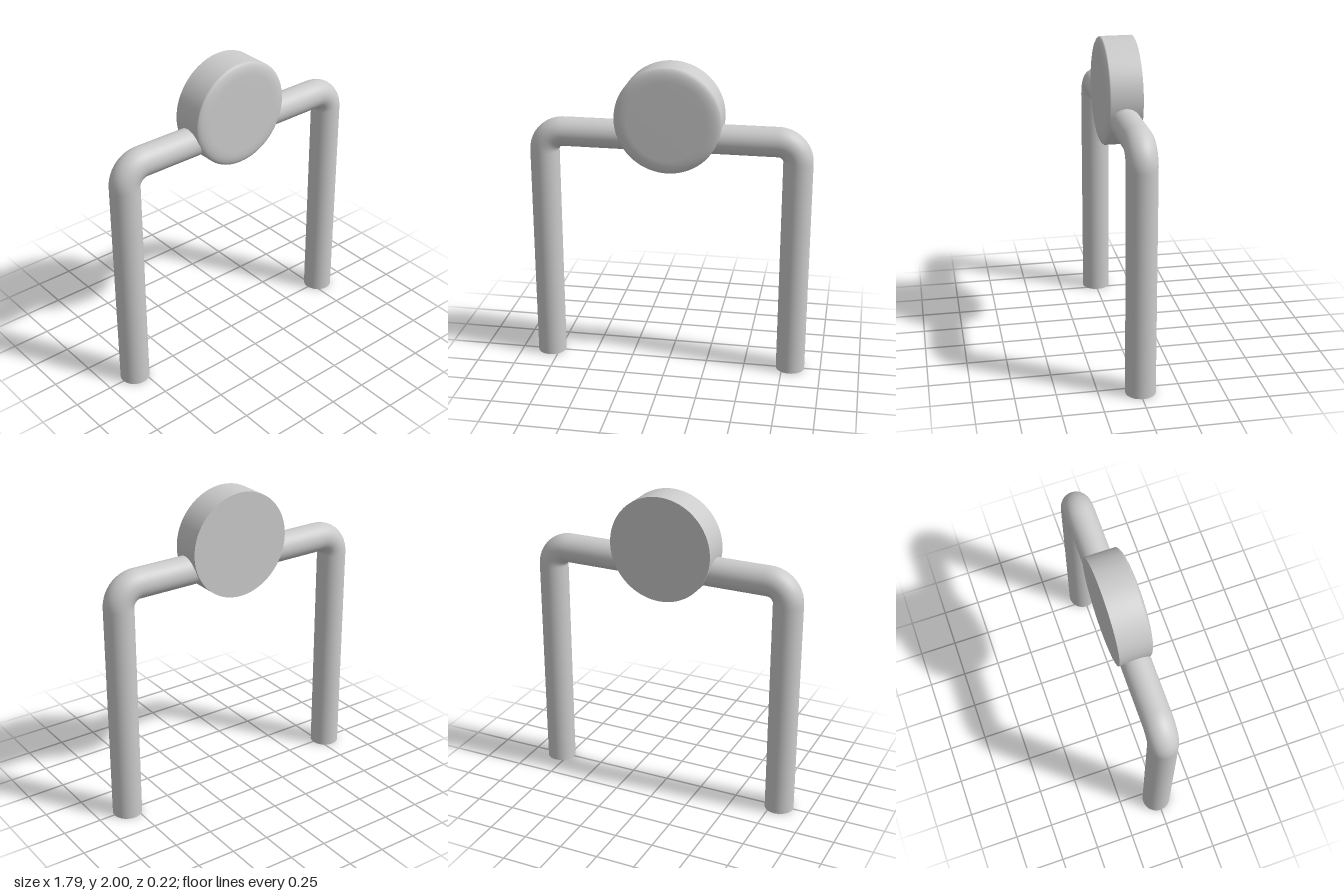
import * as THREE from 'three';

export function createModel() {
  const group = new THREE.Group();
  const grey = new THREE.MeshStandardMaterial({ color: 0xcccccc, side: THREE.DoubleSide });
  const add = (name, geometry) => {
    const mesh = new THREE.Mesh(geometry, grey);
    mesh.name = name;
    group.add(mesh);
    return mesh;
  };

  // Bent pipe: two legs, two rounded corners and a crossbar, open at the feet
  const legX = 0.803, barY = 1.542, bend = 0.125, pipeRadius = 0.093;
  const path = new THREE.CurvePath();
  const point = (x, y) => new THREE.Vector3(x, y, 0);
  const corner = (side) => {
    const k = bend * 0.448; // handle offset that makes a quarter circle
    const low = point(side * legX, barY - bend), high = point(side * (legX - bend), barY);
    const lowHandle = point(side * legX, barY - k), highHandle = point(side * (legX - k), barY);
    return side < 0
      ? new THREE.CubicBezierCurve3(low, lowHandle, highHandle, high)
      : new THREE.CubicBezierCurve3(high, highHandle, lowHandle, low);
  };
  path.add(new THREE.LineCurve3(point(-legX, 0), point(-legX, barY - bend)));
  path.add(corner(-1));
  path.add(new THREE.LineCurve3(point(-legX + bend, barY), point(legX - bend, barY)));
  path.add(corner(1));
  path.add(new THREE.LineCurve3(point(legX, barY - bend), point(legX, 0)));
  add('pipeFrame', new THREE.TubeGeometry(path, 240, pipeRadius, 40)).position.z = -0.005;

  // Round plate: straight wall with a softened front rim
  const radius = 0.335, back = -0.11, front = 0.11;
  const profile = [
    [radius, back], [radius, 0.085], [0.329, 0.093], [0.312, 0.102],
    [0.285, 0.108], [0.25, front], [0, front],
  ].map(([r, z]) => new THREE.Vector2(r, z));
  const plate = add('discBody', new THREE.LatheGeometry(profile, 72).rotateX(Math.PI / 2));
  plate.position.y = 2 - radius;

  // Flat back of the plate, with a sharp edge
  const cap = add('discBack', new THREE.CircleGeometry(radius, 72).rotateY(Math.PI));
  cap.position.set(0, 2 - radius, back);

  return group;
}
